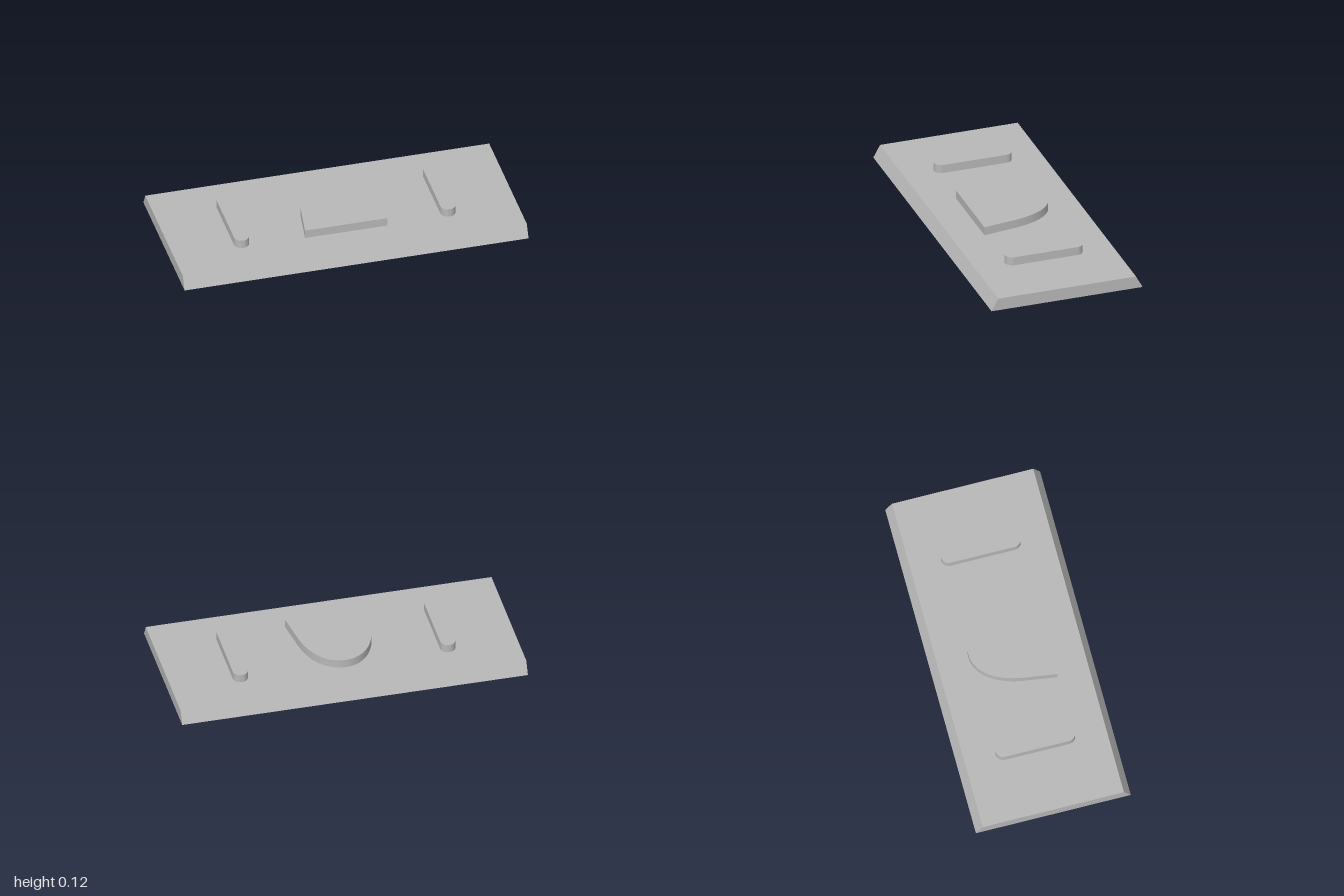
import * as THREE from 'three';
import { toCreasedNormals } from 'three/addons/utils/BufferGeometryUtils.js';

const LENGTH = 2, BASE_HEIGHT = 0.073, PAD_HEIGHT = 0.05;

export function createModel() {
  const group = new THREE.Group();
  const grey = new THREE.MeshStandardMaterial({ color: 0xb8b8b8 });
  grey.name = 'plain grey';

  const add = (name, geometry, x = 0, y = 0) => {
    const mesh = new THREE.Mesh(geometry, grey);
    mesh.name = name;
    mesh.position.set(x, y, 0);
    group.add(mesh);
  };

  // Extrudes a plan outline upwards; shape y runs towards the back
  const raise = (shape) => {
    const geometry = new THREE.ExtrudeGeometry(shape, {
      depth: PAD_HEIGHT, bevelEnabled: false, curveSegments: 24,
    });
    return toCreasedNormals(geometry.rotateX(-Math.PI / 2), Math.PI / 6);
  };

  // Base plate with sloping front and back edges
  const profile = new THREE.Shape([
    new THREE.Vector2(-0.45, 0), new THREE.Vector2(0.45, 0),
    new THREE.Vector2(0.41, BASE_HEIGHT), new THREE.Vector2(-0.41, BASE_HEIGHT),
  ]);
  const base = new THREE.ExtrudeGeometry(profile, { depth: LENGTH, bevelEnabled: false });
  base.translate(0, 0, -LENGTH / 2).rotateY(Math.PI / 2);
  add('basePlate', base);

  // Central arched pad: flared sides, straight front, rounded back
  const arch = new THREE.Shape();
  arch.moveTo(-0.24, -0.225);
  arch.lineTo(0.24, -0.225);
  arch.lineTo(0.213, -0.04);
  arch.bezierCurveTo(0.19, 0.12, 0.11, 0.23, 0, 0.23);
  arch.bezierCurveTo(-0.11, 0.23, -0.19, 0.12, -0.213, -0.04);
  arch.closePath();
  add('archedPad', raise(arch), 0, BASE_HEIGHT);

  // Round-ended bars on either side
  const r = 0.043, reach = 0.23 - r;
  const bar = new THREE.Shape();
  bar.absarc(0, reach, r, 0, Math.PI, false);
  bar.absarc(0, -reach, r, Math.PI, Math.PI * 2, false);
  bar.closePath();
  const barGeometry = raise(bar);
  add('leftBar', barGeometry, 0.6, BASE_HEIGHT);
  add('rightBar', barGeometry, -0.6, BASE_HEIGHT);

  return group;
}
